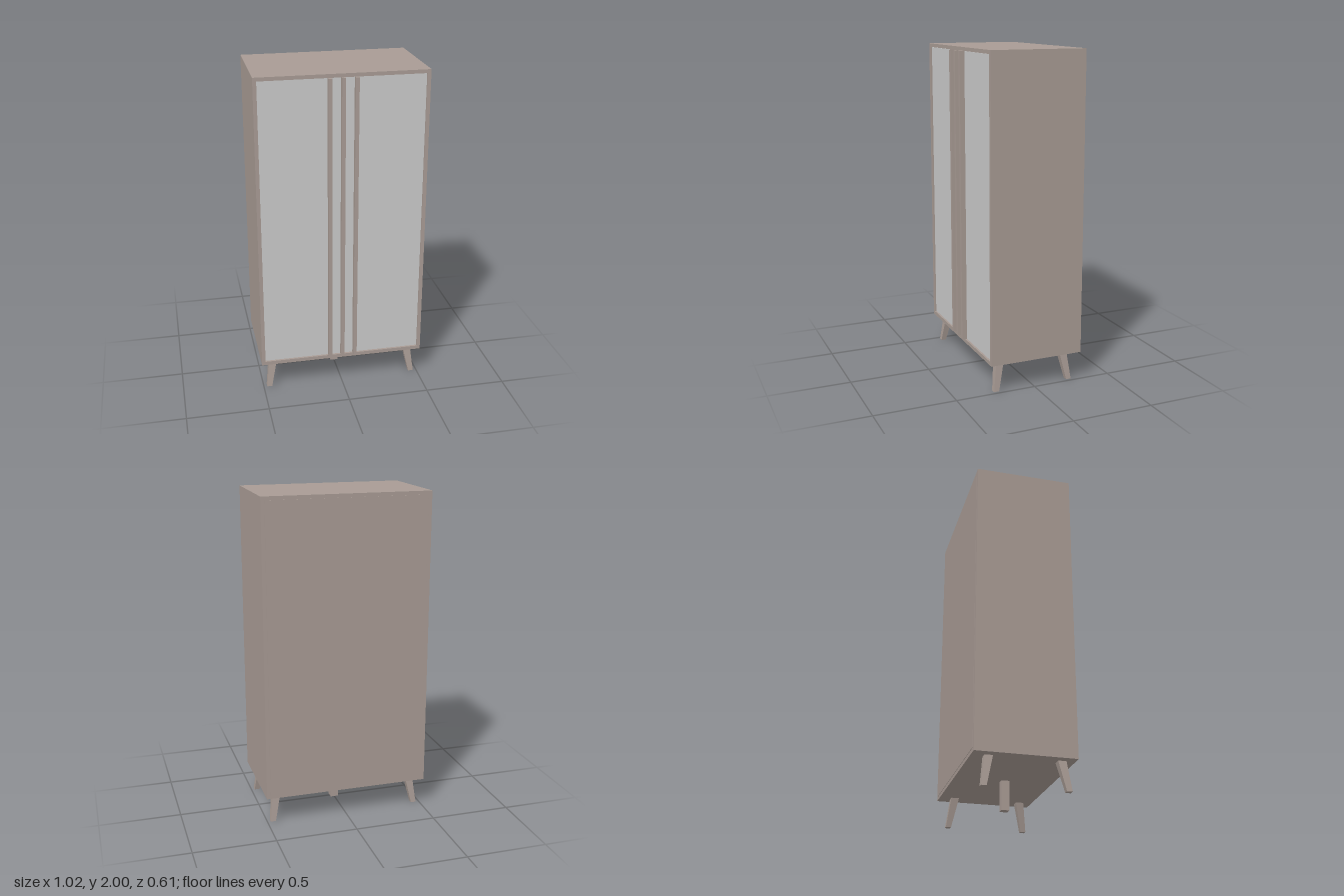
import * as THREE from 'three';

export function createModel() {
  const model = new THREE.Group();
  model.name = 'wardrobe';
  const wood = new THREE.MeshStandardMaterial({ color: 0xa89b94 });
  wood.name = 'taupe wood';
  const grey = new THREE.MeshStandardMaterial({ color: 0xc9c9c9 });
  grey.name = 'light grey';

  // Box given by its low and high corners
  function box(name, material, [x0, y0, z0], [x1, y1, z1]) {
    const mesh = new THREE.Mesh(new THREE.BoxGeometry(x1 - x0, y1 - y0, z1 - z0), material);
    mesh.position.set((x0 + x1) / 2, (y0 + y1) / 2, (z0 + z1) / 2);
    mesh.name = name;
    model.add(mesh);
    return mesh;
  }

  const W = 0.51, back = -0.303, front = 0.285, low = 0.2, high = 1.978;

  // Carcass
  box('topPanel', wood, [-W, high, back], [W, 2, front]);
  box('bottomPanel', wood, [-W, 0.177, back], [W, low, front]);
  box('backPanel', wood, [-0.487, low, -0.305], [0.487, high, -0.29]);
  for (const [side, s] of [['left', 1], ['right', -1]]) {
    const x = s * (W - 0.011);
    box(side + 'SidePanel', wood, [x - 0.011, low, back], [x + 0.011, high, front]);

    // Doors, set back a little between the side panels
    const d = s * 0.245;
    box(side + 'Door', grey, [d - 0.243, low + 0.002, 0.255], [d + 0.243, high - 0.002, 0.275]);
  }

  // Upright strips on the doors
  for (const [name, x] of [['rightStrip', -0.078], ['centreStrip', 0], ['leftStrip', 0.078]]) {
    box(name, wood, [x - 0.011, low, 0.273], [x + 0.011, high, 0.305]);
  }

  // Splayed, tapered corner legs
  const legTop = 0.177;
  for (const [xName, sx] of [['Left', 1], ['Right', -1]]) {
    for (const [zName, sz] of [['front', 1], ['back', -1]]) {
      const geometry = new THREE.BoxGeometry(1, legTop, 1);
      geometry.translate(0, legTop / 2, 0);
      const p = geometry.attributes.position;
      for (let i = 0; i < p.count; i++) {
        const t = p.getY(i) / legTop;
        const width = THREE.MathUtils.lerp(0.032, 0.048, t);
        p.setX(i, p.getX(i) * width + sx * THREE.MathUtils.lerp(0.463, 0.434, t));
        p.setZ(i, p.getZ(i) * width + sz * THREE.MathUtils.lerp(0.239, 0.208, t));
      }
      geometry.computeVertexNormals();
      const leg = new THREE.Mesh(geometry, wood);
      leg.name = zName + xName + 'Leg';
      model.add(leg);
    }
  }

  // Straight support leg under the middle
  box('middleLeg', wood, [-0.024, 0, -0.024], [0.024, legTop, 0.024]);

  return model;
}
